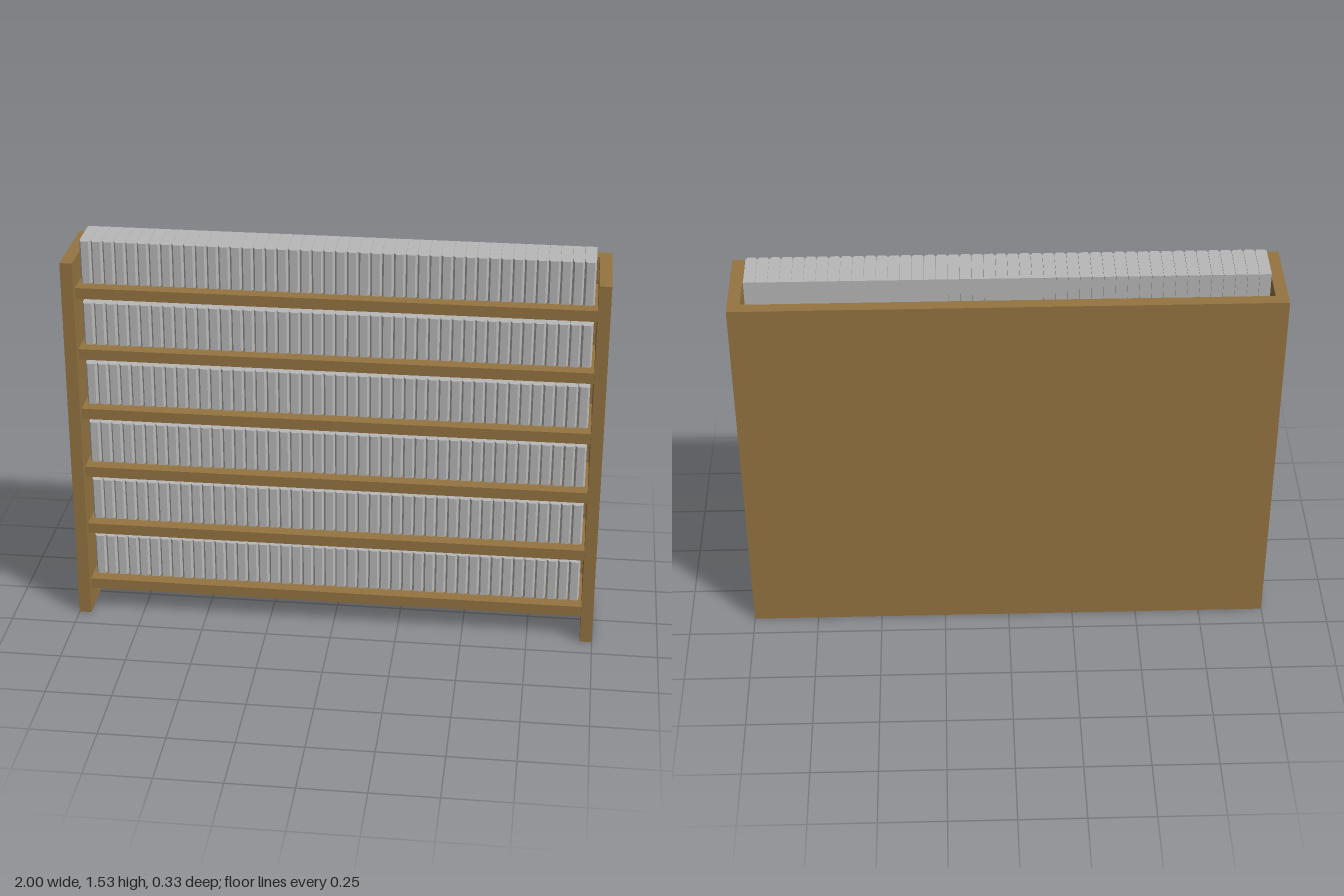
import * as THREE from 'three';

export function createModel() {
  const wood = new THREE.MeshStandardMaterial({ color: 0x957541 });
  wood.name = 'wood';
  const cover = new THREE.MeshStandardMaterial({ color: 0xb8b8b8 });
  cover.name = 'book grey';

  const model = new THREE.Group();
  model.name = 'bookcase';

  // Box given by its lower and upper corners
  function board(name, x0, x1, y0, y1, z0, z1) {
    const mesh = new THREE.Mesh(new THREE.BoxGeometry(x1 - x0, y1 - y0, z1 - z0), wood);
    mesh.position.set((x0 + x1) / 2, (y0 + y1) / 2, (z0 + z1) / 2);
    mesh.name = name;
    model.add(mesh);
  }

  // Case
  const height = 1.467, half = 0.167, inner = 0.954, backFront = -0.122;
  board('leftSide', inner, 1, 0, height, -half, half);
  board('rightSide', -1, -inner, 0, height, -half, half);
  board('backPanel', -inner, inner, 0, height, -half, backFront);

  // Book: flat back, bevelled spine at the front
  const count = 44, span = 1.886, pitch = span / count;
  const bookHeight = 0.165, w = pitch / 2 - 0.0005, bevel = 0.007;
  const outline = new THREE.Shape([
    [-w, 0.07], [-w, -0.08], [-w + bevel, -0.092],
    [w - bevel, -0.092], [w, -0.08], [w, 0.07],
  ].map(([x, y]) => new THREE.Vector2(x, y)));
  const bookGeometry = new THREE.ExtrudeGeometry(outline, { depth: bookHeight, bevelEnabled: false });
  bookGeometry.rotateX(-Math.PI / 2);

  // Six shelves, each with a full row of books
  for (let row = 0; row < 6; row++) {
    const top = 0.137 + row * 0.2447;
    board('shelf' + (row + 1), -inner, inner, top - 0.042, top, backFront, 0.14);

    const books = new THREE.Group();
    books.name = 'bookRow' + (row + 1);
    for (let i = 0; i < count; i++) {
      const book = new THREE.Mesh(bookGeometry, cover);
      book.name = 'book';
      book.position.set((i + 0.5) * pitch - span / 2, top, 0);
      books.add(book);
    }
    model.add(books);
  }
  return model;
}
